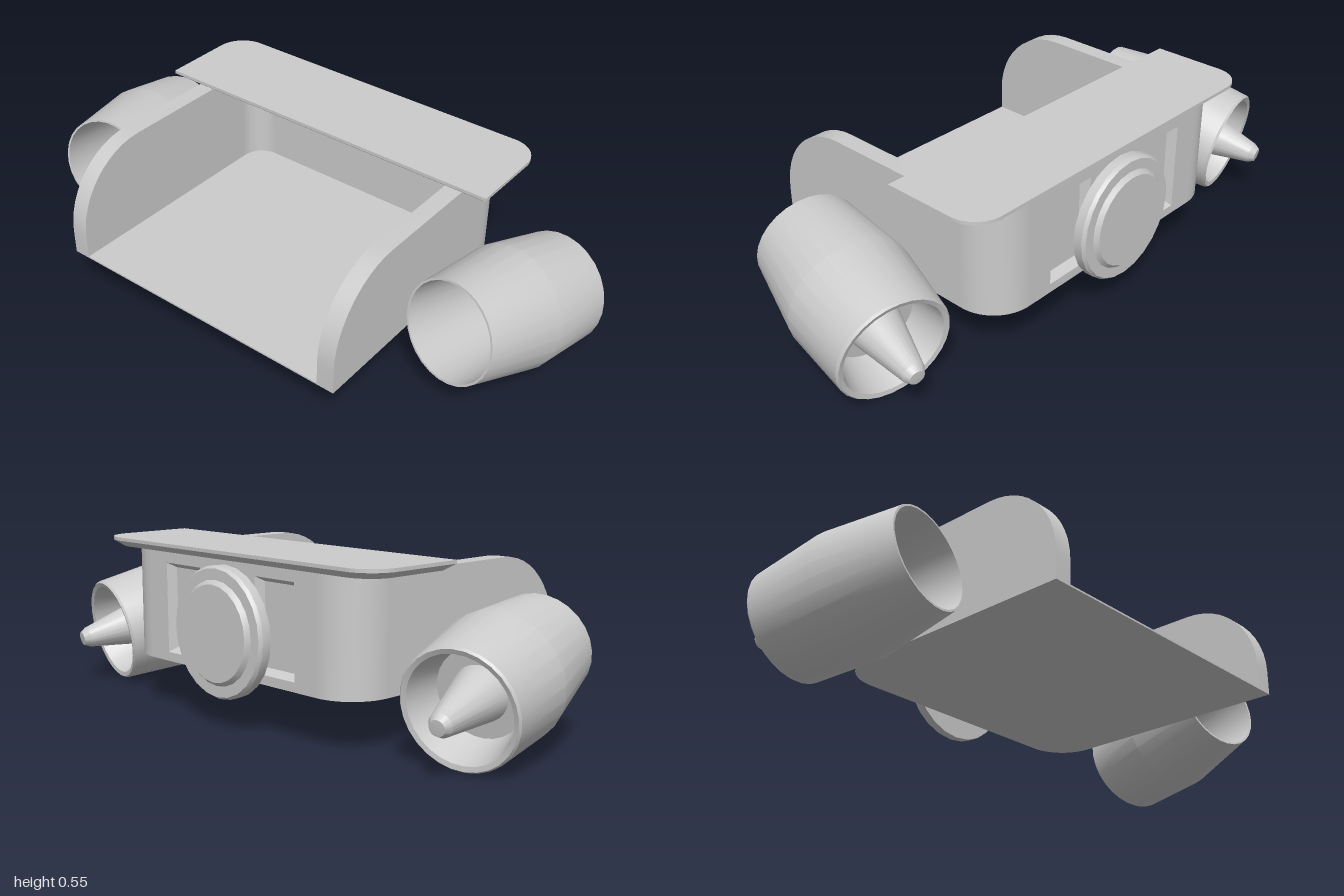
import * as THREE from 'three';
import { toCreasedNormals } from 'three/addons/utils/BufferGeometryUtils.js';

const V2 = (x, y) => new THREE.Vector2(x, y);
const BASE = 0.165, TOP = 0.525, WIDTH = 0.54, WALL = 0.06, RADIUS = 0.14, NOSE = 0.44;

export function createModel() {
  const model = new THREE.Group();
  const material = new THREE.MeshStandardMaterial({ color: 0xcccccc, side: THREE.DoubleSide });

  function add(name, geometry, parent = model, crease = 0.5) {
    const mesh = new THREE.Mesh(toCreasedNormals(geometry, crease), material);
    mesh.name = name;
    parent.add(mesh);
    return mesh;
  }

  // Extrudes an (x, -z) plan outline upwards from y0 to y1
  function plan(shape, y0, y1, curveSegments = 8) {
    const g = new THREE.ExtrudeGeometry(shape, { depth: y1 - y0, bevelEnabled: false, curveSegments });
    return g.rotateX(-Math.PI / 2).translate(0, y0, 0);
  }

  // Outline with two rounded corners at the +x end
  function roundedPlan(x0, x1, halfZ, r) {
    const s = new THREE.Shape();
    s.moveTo(x0, -halfZ);
    s.lineTo(x1 - r, -halfZ);
    s.absarc(x1 - r, -halfZ + r, r, -Math.PI / 2, 0);
    s.absarc(x1 - r, halfZ - r, r, 0, Math.PI / 2);
    s.lineTo(x0, halfZ);
    s.closePath();
    return s;
  }

  // Floor
  add('floor', plan(roundedPlan(-0.5, NOSE - 0.002, WIDTH - 0.002, RADIUS), BASE, BASE + 0.006));

  // Front wall with two recessed, bevelled panels
  const halfFront = WIDTH - RADIUS;
  const front = new THREE.Shape([
    V2(-halfFront, BASE), V2(halfFront, BASE), V2(halfFront, TOP), V2(-halfFront, TOP)]);
  const panel = { z: 0.2175, y: 0.3425, w: 0.0875, h: 0.1475 };
  for (const s of [-1, 1]) {
    const z = s * panel.z, { y, w, h } = panel;
    front.holes.push(new THREE.Path([
      V2(z - w, y - h), V2(z - w, y + h), V2(z + w, y + h), V2(z + w, y - h)]));
  }
  const frontWall = new THREE.ExtrudeGeometry(front, { depth: 0.03, bevelEnabled: false });
  const p = frontWall.attributes.position;
  for (let i = 0; i < p.count; i++) {
    const x = p.getX(i), cx = Math.sign(x) * panel.z;
    // Narrow the openings towards the inside
    if (p.getZ(i) < 0.01 && Math.abs(x) < 0.35) {
      p.setX(i, cx + (x - cx) * 0.84);
      p.setY(i, panel.y + (p.getY(i) - panel.y) * 0.89);
    }
  }
  frontWall.rotateY(Math.PI / 2).translate(NOSE - 0.03, 0, 0);
  add('frontWall', frontWall, model, 0.3);
  add('frontWallBacking', new THREE.BoxGeometry(0.03, TOP - BASE, 2 * halfFront)
    .translate(NOSE - 0.045, (TOP + BASE) / 2, 0));

  // Top deck: thin slab over a chamfered underside
  add('deckTop', plan(roundedPlan(0.117, 0.465, 0.637, 0.1), 0.545, 0.556));
  const chamfer = plan(roundedPlan(0.117, 0.465, 0.637, 0.1), TOP, 0.545);
  const c = chamfer.attributes.position;
  for (let i = 0; i < c.count; i++) {
    if (c.getY(i) < TOP + 0.005) {
      c.setX(i, 0.291 + (c.getX(i) - 0.291) * 0.86);
      c.setZ(i, c.getZ(i) * 0.955);
    }
  }
  add('deckChamfer', chamfer);

  // Round hatch on the front wall
  const hatch = new THREE.LatheGeometry([
    V2(0, 0.44), V2(0.208, 0.445), V2(0.208, 0.475), V2(0.2, 0.486),
    V2(0.165, 0.486), V2(0.152, 0.5), V2(0, 0.5)], 24);
  add('frontHatch', hatch.rotateZ(-Math.PI / 2).translate(0, 0.305, 0));

  // Each side: wall, rounded corner and tilted engine
  const wall = new THREE.Shape();
  wall.moveTo(-0.5, BASE);
  wall.lineTo(NOSE - RADIUS, BASE);
  wall.lineTo(NOSE - RADIUS, TOP);
  wall.lineTo(-0.23, TOP);
  wall.absellipse(-0.23, 0.25, 0.27, TOP - 0.25, Math.PI / 2, Math.PI);
  wall.closePath();

  const corner = new THREE.Shape();
  corner.absarc(NOSE - RADIUS, -halfFront, RADIUS, -Math.PI / 2, 0);
  corner.absarc(NOSE - RADIUS, -halfFront, RADIUS - WALL, 0, -Math.PI / 2, true);
  corner.closePath();

  // Engine section: rear duct, outer shell, lip, intake and spinner in one profile
  const engineProfile = [
    V2(0, 0.1), V2(0.14, 0.1), V2(0.16, -0.27), V2(0.167, -0.27),
    V2(0.203, 0), V2(0.184, 0.243), V2(0.178, 0.25), V2(0.163, 0.246),
    V2(0.135, 0.12), V2(0.085, 0.12), V2(0.036, 0.345), V2(0.024, 0.365), V2(0, 0.367)];
  const engineAxis = new THREE.Vector3(1, -0.185, 0.2).normalize();

  for (const side of [1, -1]) {
    const half = new THREE.Group();
    half.name = side > 0 ? 'frontSide' : 'backSide';
    half.scale.z = side;
    model.add(half);
    add('sideWall', new THREE.ExtrudeGeometry(wall, { depth: WALL, bevelEnabled: false, curveSegments: 6 })
      .translate(0, 0, WIDTH - WALL), half, 0.3);
    add('wallCorner', plan(corner, BASE, TOP), half);
    const engine = add('engine', new THREE.LatheGeometry(engineProfile, 28), half, 0.3);
    engine.position.set(0.08, 0.228, 0.77);
    engine.quaternion.setFromUnitVectors(new THREE.Vector3(0, 1, 0), engineAxis);
  }
  return model;
}
